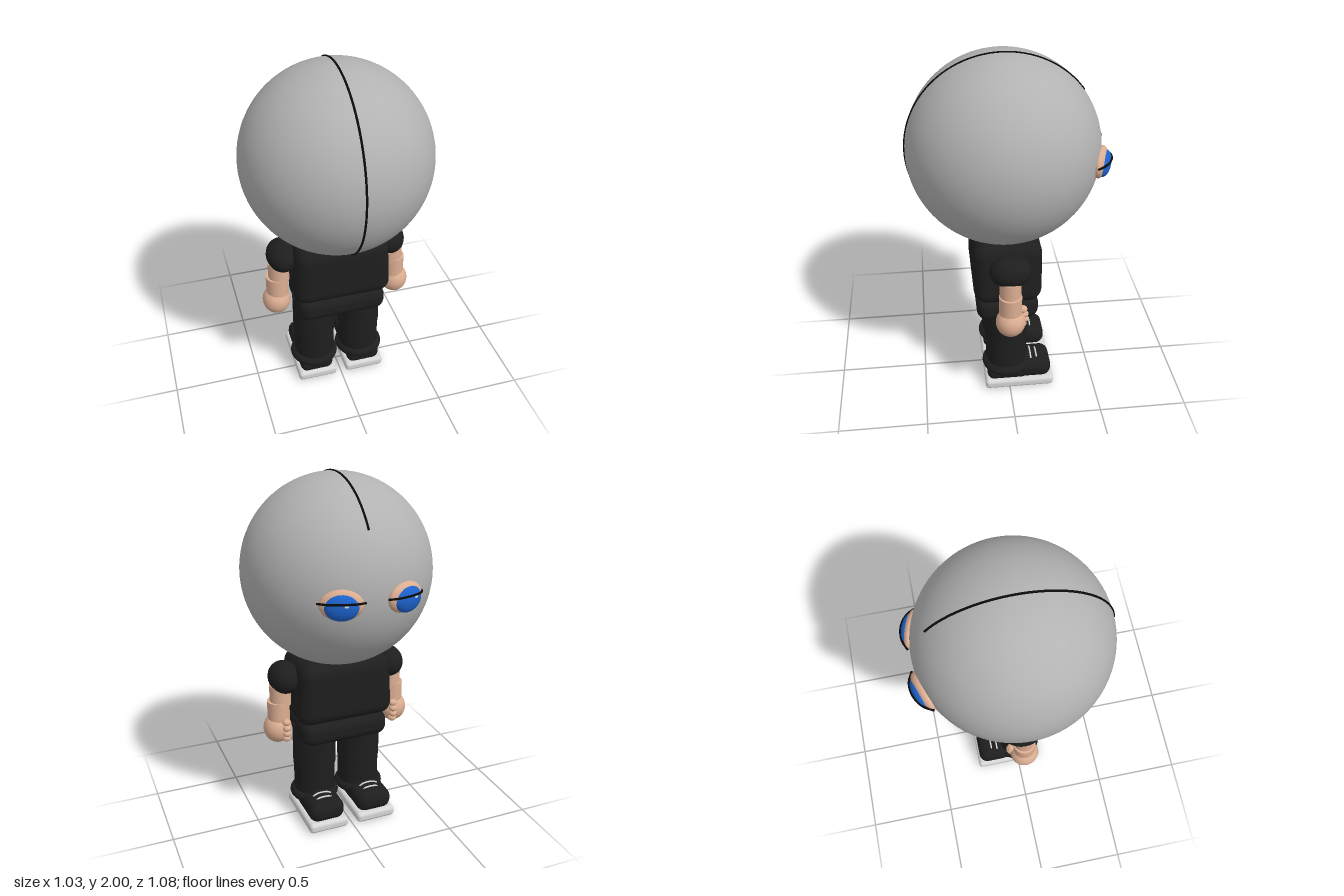
import * as THREE from 'three';
import { RoundedBoxGeometry } from 'three/addons/geometries/RoundedBoxGeometry.js';

const mat = (name, color) => {
  const m = new THREE.MeshStandardMaterial({ color });
  m.name = name;
  return m;
};

export function createModel() {
  const black = mat('black cloth', 0x1e1e1e);
  const ink = mat('ink line', 0x0a0a0a);
  const skin = mat('skin', 0xdcae92);
  const grey = mat('head grey', 0xb2b2b2);
  const blue = mat('lens blue', 0x1c62cc);
  const white = mat('sole white', 0xd6d6d6);

  const model = new THREE.Group();
  model.name = 'bigHeadFigure';

  const add = (parent, name, geo, material, x = 0, y = 0, z = 0) => {
    const m = new THREE.Mesh(geo, material);
    m.name = name;
    m.position.set(x, y, z);
    parent.add(m);
    return m;
  };
  const ball = (rx, ry, rz, seg = 32) =>
    new THREE.SphereGeometry(1, seg, Math.round(seg * 0.75)).scale(rx, ry, rz);
  const box = (w, h, d, r) => new RoundedBoxGeometry(w, h, d, 5, r);
  const tube = (points, r, seg = 24) =>
    new THREE.TubeGeometry(new THREE.CatmullRomCurve3(points), seg, r, 8);
  const v = (x, y, z) => new THREE.Vector3(x, y, z);

  // Head with a seam running from the brow over the crown and down the other side
  const centre = v(0, 1.478, 0.012);
  const R = 0.517;
  add(model, 'head', new THREE.SphereGeometry(R, 72, 48), grey, ...centre);
  const seam = [];
  for (let i = 0; i <= 32; i++) {
    const a = THREE.MathUtils.degToRad(-54 + (224 * i) / 32);
    seam.push(v(0, Math.cos(a) * R, Math.sin(a) * R));
  }
  add(model, 'headSeam', tube(seam, 0.006, 120), ink, ...centre);

  // Torso tapering slightly to the shoulders, and the hip band
  const torso = box(0.57, 0.37, 0.38, 0.075);
  const p = torso.attributes.position;
  for (let i = 0; i < p.count; i++) {
    p.setX(i, p.getX(i) * (1 - 0.08 * (p.getY(i) / 0.37 + 0.5)));
  }
  torso.computeVertexNormals();
  add(model, 'torso', torso, black, 0, 0.818, 0.01);
  add(model, 'hips', box(0.51, 0.145, 0.35, 0.06), black, 0, 0.57, 0.01);

  for (const s of [-1, 1]) {
    const side = s > 0 ? 'left' : 'right';

    // Eye: local +z points straight out of the head
    const eye = new THREE.Group();
    eye.name = side + 'Eye';
    eye.position.set(0.17 * s, 1.45, -0.475);
    eye.lookAt(eye.position.clone().multiplyScalar(2).sub(centre));
    model.add(eye);
    add(eye, 'eyelid', ball(0.11, 0.08, 0.04), skin);
    add(eye, 'iris', ball(0.085, 0.068, 0.035), blue, 0, -0.005, 0.022);
    add(eye, 'lash', tube([
      v(-0.118, 0.01, 0.0), v(-0.07, 0.02, 0.04), v(0, 0.025, 0.056),
      v(0.07, 0.02, 0.04), v(0.118, 0.01, 0.0),
    ], 0.006), ink);
    add(eye, 'glint', ball(0.011, 0.006, 0.004, 12), white, 0.022, 0.012, 0.055);

    // Arm
    const arm = new THREE.Group();
    arm.name = side + 'Arm';
    model.add(arm);
    add(arm, 'sleeve', ball(0.09, 0.09, 0.115), black, 0.312 * s, 0.893, 0.006);
    add(arm, 'upperArm', new THREE.CylinderGeometry(0.06, 0.06, 0.12, 32), skin, 0.338 * s, 0.79, 0.01);
    add(arm, 'forearm', new THREE.CylinderGeometry(0.063, 0.063, 0.14, 32), skin, 0.35 * s, 0.685, 0.01);
    add(arm, 'hand', ball(0.08, 0.086, 0.082), skin, 0.358 * s, 0.587, 0.01);
    for (const [y, z] of [[0.645, -0.062], [0.612, -0.069], [0.578, -0.068], [0.545, -0.058]]) {
      add(arm, 'finger', ball(0.024, 0.02, 0.024, 16), skin, 0.328 * s, y, z);
    }

    // Trouser leg with a rolled cuff
    const leg = new THREE.Group();
    leg.name = side + 'Leg';
    model.add(leg);
    const x = 0.139 * s;
    add(leg, 'thigh', new THREE.CylinderGeometry(0.124, 0.124, 0.26, 40), black, x, 0.45, 0.012);
    add(leg, 'shin', new THREE.CylinderGeometry(0.12, 0.12, 0.22, 40), black, x, 0.22, 0.012);
    add(leg, 'cuff', new THREE.TorusGeometry(0.113, 0.029, 16, 40).rotateX(Math.PI / 2),
      black, 0.142 * s, 0.13, 0.012);

    // Shoe
    const shoe = new THREE.Group();
    shoe.name = side + 'Shoe';
    model.add(shoe);
    const sx = 0.147 * s;
    add(shoe, 'sole', box(0.236, 0.06, 0.405, 0.022), white, sx, 0.03, -0.058);
    add(shoe, 'heel', box(0.2, 0.09, 0.24, 0.04), black, sx, 0.09, 0.01);
    add(shoe, 'toe', box(0.21, 0.12, 0.2, 0.052), black, sx, 0.108, -0.148);
    add(shoe, 'tongue', ball(0.07, 0.035, 0.05), black, sx, 0.15, -0.11);
    for (const [z, y] of [[-0.13, 0.18], [-0.165, 0.171]]) {
      add(shoe, 'lace', tube([
        v(-0.055, -0.013, 0), v(-0.03, 0, 0), v(0.03, 0, 0), v(0.055, -0.013, 0),
      ], 0.005, 12), white, sx, y, z);
    }
  }
  return model;
}
